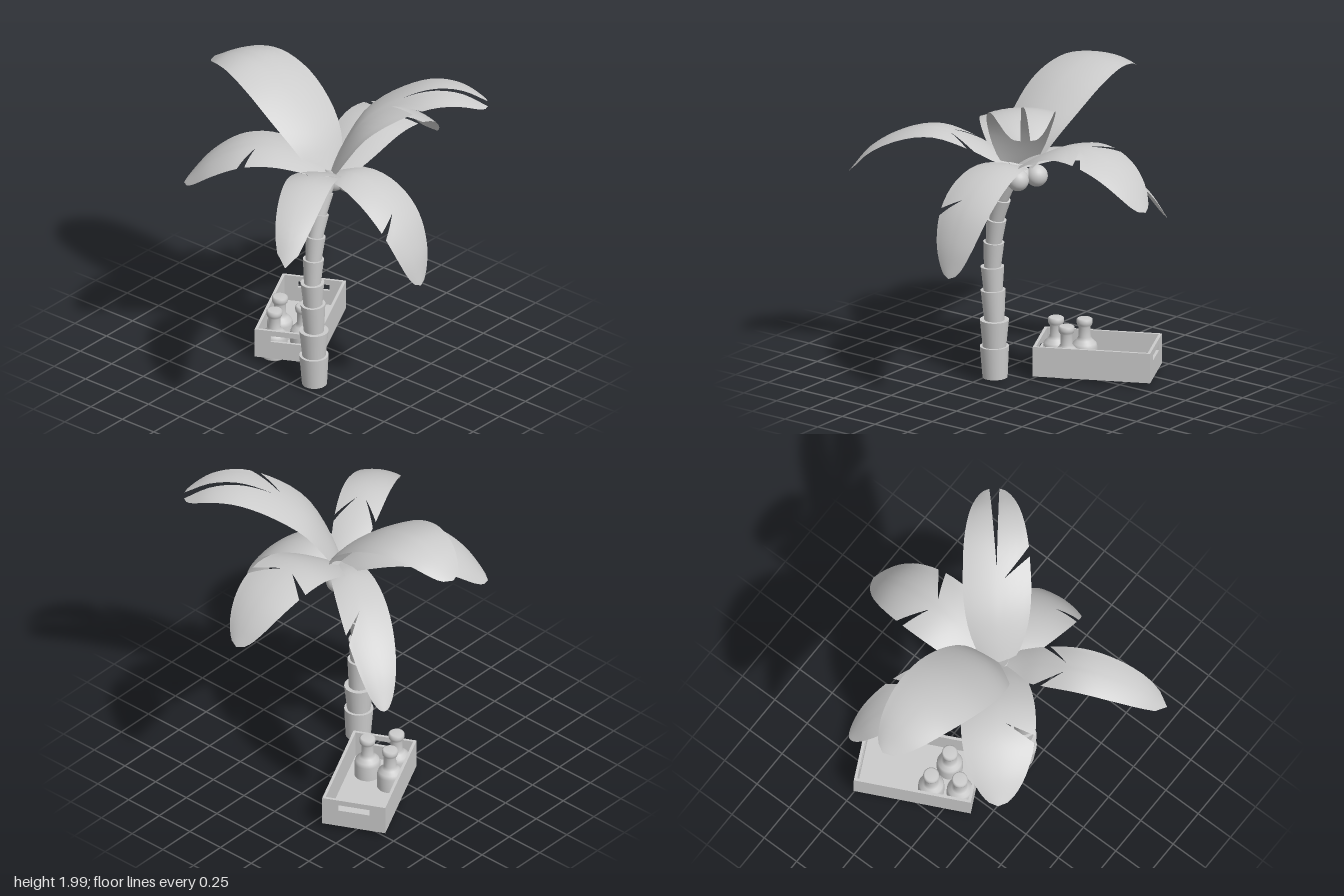
import * as THREE from 'three';
import { mergeVertices } from 'three/addons/utils/BufferGeometryUtils.js';

const V3 = THREE.Vector3;
const solid = new THREE.MeshStandardMaterial({ color: 0xcccccc });
const thin = new THREE.MeshStandardMaterial({ color: 0xcccccc, side: THREE.DoubleSide });

function add(parent, name, geometry, x = 0, y = 0, z = 0, material = solid) {
  const mesh = new THREE.Mesh(geometry, material);
  mesh.name = name;
  mesh.position.set(x, y, z);
  parent.add(mesh);
  return mesh;
}

// Frond: an arched blade swept along a drooping spine of [reach, height] points.
// Notches are [t, side, inner u]: V cuts from the edge towards the midrib, slanted by lean.
// A split opens the midrib from that t to the tip.
const ROWS = 22, COLS = 10;
function frondGeometry({ dir, spine, width, notches = [], lean = 0.6, split = 1 }) {
  const len = Math.hypot(dir[0], dir[1]);
  const dx = dir[0] / len, dz = dir[1] / len;
  const across = new V3(-dz, 0, dx);
  const curve = new THREE.CatmullRomCurve3(spine.map(([r, y]) => new V3(r * dx, y, r * dz)));
  const point = (t, u, side) => {
    const s = Math.min(1, t + lean * Math.abs(u) * t * (1 - t));
    const w = width * Math.pow(Math.max(0, Math.sin(Math.PI * (0.06 + 0.94 * s))), 0.5);
    const up = across.clone().cross(curve.getTangentAt(s));
    return curve.getPointAt(s)
      .addScaledVector(across, u * w + side * 0.07 * Math.max(0, s - split))
      .addScaledVector(up, -0.14 * u * u * w);
  };
  const pos = [];
  const tri = (...pts) => pts.forEach((p) => pos.push(p.x, p.y, p.z));
  for (let i = 0; i < ROWS; i++) {
    const t0 = i / ROWS, t1 = (i + 1) / ROWS;
    for (let j = 0; j < COLS; j++) {
      const u0 = -1 + (2 * j) / COLS, u1 = -1 + (2 * (j + 1)) / COLS;
      const side = Math.sign(u0 + u1);
      const notch = notches.find((n) => Math.floor(n[0] * ROWS) === i && n[1] === side);
      const top = (u) => (!notch || Math.abs(u) <= notch[2]
        ? t1 : THREE.MathUtils.lerp(t0, t1, (1 - Math.abs(u)) / (1 - notch[2])));
      const a = point(t0, u0, side), b = point(t0, u1, side);
      const c = point(top(u1), u1, side), d = point(top(u0), u0, side);
      tri(a, b, c);
      tri(a, c, d);
    }
  }
  let g = new THREE.BufferGeometry();
  g.setAttribute('position', new THREE.Float32BufferAttribute(pos, 3));
  g = mergeVertices(g, 1e-4);
  g.computeVertexNormals();
  return g;
}

const FRONDS = [
  { name: 'backFrond', dir: [0.11, -1], width: 0.25,
    spine: [[0, 1.43], [0.1, 1.62], [0.25, 1.77], [0.45, 1.9], [0.67, 1.96], [0.85, 1.93], [1.02, 1.83]] },
  { name: 'frontLeftFrond', dir: [0.63, 0.77], width: 0.21, split: 0.56, lean: 0.8,
    spine: [[0, 1.43], [0.08, 1.6], [0.2, 1.78], [0.4, 1.92], [0.62, 1.995], [0.8, 1.98], [0.96, 1.9]],
    notches: [[0.42, 1, 0.2]] },
  { name: 'leftFrond', dir: [1, 0], width: 0.22,
    spine: [[0, 1.41], [0.2, 1.54], [0.35, 1.61], [0.47, 1.63], [0.62, 1.61], [0.77, 1.54], [0.88, 1.44], [0.97, 1.31]],
    notches: [[0.41, 1, 0.2], [0.41, -1, 0.2]] },
  { name: 'backLeftFrond', dir: [0.52, -0.81], width: 0.152, lean: 0.9,
    spine: [[0, 1.43], [0.2, 1.485], [0.45, 1.45], [0.66, 1.34], [0.84, 1.17], [0.97, 0.97]],
    notches: [[0.37, 1, 0.2]] },
  { name: 'backRightFrond', dir: [-0.54, -0.7], width: 0.23,
    spine: [[0, 1.43], [0.15, 1.53], [0.35, 1.6], [0.55, 1.59], [0.74, 1.49], [0.9, 1.33]],
    notches: [[0.42, -1, 0.2]] },
  { name: 'frontRightFrond', dir: [-0.95, 0.43], width: 0.145, lean: -0.6,
    spine: [[0, 1.42], [0.12, 1.48], [0.27, 1.56], [0.5, 1.63], [0.7, 1.6], [0.92, 1.48], [1.06, 1.31]],
    notches: [[0.4, 1, 0.2], [0.4, -1, 0.2]] },
  { name: 'frontFrond', dir: [0, 1], width: 0.185,
    spine: [[0, 1.42], [0.15, 1.47], [0.3, 1.455], [0.45, 1.385], [0.58, 1.26], [0.67, 1.08], [0.715, 0.88]],
    notches: [[0.47, 1, 0.2]] },
];

// Trunk: stacked flaring rings [x, y, top radius] that lean over near the crown
const RINGS = [[-0.175, 0.22, 0.09], [-0.175, 0.39, 0.09], [-0.185, 0.58, 0.077], [-0.19, 0.73, 0.073],
  [-0.18, 0.89, 0.065], [-0.16, 1.04, 0.062], [-0.12, 1.18, 0.056], [-0.07, 1.31, 0.052], [-0.01, 1.43, 0.05]];

function buildTree() {
  const tree = new THREE.Group();
  tree.name = 'palmTree';
  tree.position.z = 0.13;
  let from = new V3(-0.17, 0.03, 0);
  RINGS.forEach(([x, y, r], i) => {
    const to = new V3(x, y, 0);
    const axis = to.clone().sub(from);
    const mid = from.clone().add(to).multiplyScalar(0.5);
    const ring = add(tree, 'trunkRing', new THREE.CylinderGeometry(r, r * (i ? 0.8 : 0.86), axis.length() + 0.01, 24),
      mid.x, mid.y, mid.z);
    ring.quaternion.setFromUnitVectors(new V3(0, 1, 0), axis.normalize());
    from = to;
  });
  FRONDS.forEach((f) => add(tree, f.name, frondGeometry(f), 0, 0, -0.01, thin));
  for (const [x, y, z] of [[0.1, 1.36, -0.065], [0.06, 1.36, 0.075], [0.02, 1.36, 0]])
    add(tree, 'coconut', new THREE.SphereGeometry(0.068, 24, 16), x, y, z);
  return tree;
}

// Crate: open box whose two end walls have hand holes
function buildCrate() {
  const L = 0.73, W = 0.4, H = 0.19, T = 0.018;
  const crate = new THREE.Group();
  crate.name = 'crate';
  crate.position.set(0.26, 0.03, -0.34);
  crate.rotation.y = 0.457;
  add(crate, 'crateFloor', new THREE.BoxGeometry(L, T, W), 0, T / 2, 0);
  const path = (points) => points.map((p) => new THREE.Vector2(...p));
  const end = new THREE.Shape(path([[-W / 2, 0], [W / 2, 0], [W / 2, H], [-W / 2, H]]));
  end.holes.push(new THREE.Path(path([[-0.1, 0.115], [-0.1, 0.155], [0.1, 0.155], [0.1, 0.115]])));
  const endGeometry = new THREE.ExtrudeGeometry(end, { depth: T, bevelEnabled: false });
  for (const s of [-1, 1]) {
    add(crate, 'crateSide', new THREE.BoxGeometry(L - 2 * T, H, T), 0, H / 2, s * (W - T) / 2);
    add(crate, 'crateEnd', endGeometry, s * (L / 2 - T), 0, 0).rotation.y = s * Math.PI / 2;
  }
  return crate;
}

// Bottle: lathed body, shoulder, neck and lip
function bottleGeometry() {
  const profile = [[0, 0.005], [0.076, 0.005], [0.08, 0.012], [0.08, 0.14], [0.072, 0.165], [0.05, 0.185], [0.038, 0.205],
    [0.037, 0.27], [0.047, 0.285], [0.05, 0.3], [0.048, 0.318], [0.04, 0.323], [0, 0.323]];
  return new THREE.LatheGeometry(profile.map((p) => new THREE.Vector2(...p)), 28);
}

export function createModel() {
  const model = new THREE.Group();
  model.name = 'palmTreeWithBottleCrate';
  model.add(buildTree(), buildCrate());
  const bottle = bottleGeometry();
  for (const [x, z] of [[-0.03, -0.305], [0.125, -0.205], [0.125, -0.39]]) add(model, 'bottle', bottle, x, 0, z);
  return model;
}
